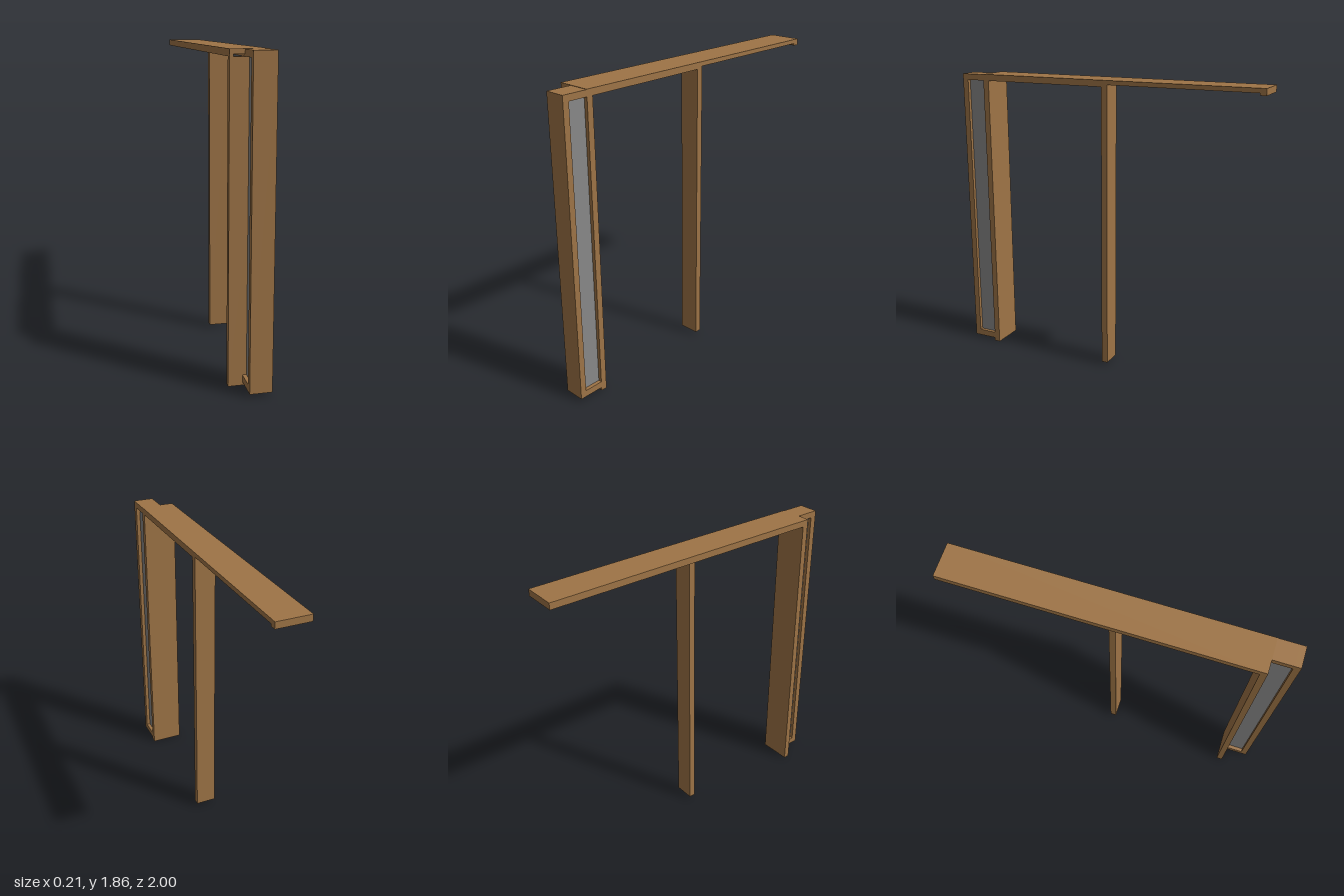
import * as THREE from 'three';

export function createModel() {
  const group = new THREE.Group();
  const wood = new THREE.MeshStandardMaterial({ color: 0x9e7446 });
  wood.name = 'wood';
  const glass = new THREE.MeshStandardMaterial({ color: 0x888888 });
  glass.name = 'grey glass';

  // Box given by its lower and upper limits on each axis
  function block(name, [x0, x1], [y0, y1], [z0, z1], material = wood) {
    const mesh = new THREE.Mesh(new THREE.BoxGeometry(x1 - x0, y1 - y0, z1 - z0), material);
    mesh.position.set((x0 + x1) / 2, (y0 + y1) / 2, (z0 + z1) / 2);
    mesh.name = name;
    group.add(mesh);
  }

  const full = [-0.105, 0.105];
  const narrow = [-0.023, 0.105];
  const top = 1.855, soffit = 1.815, recess = 1.828;

  // Door jamb and slim centre post
  block('jamb', full, [0, soffit], [0.805, 0.843]);
  block('centrePost', narrow, [0.021, recess], [-0.04, 0]);

  // Header: cap plate with a channel below
  block('headerCap', full, [recess, top], [-1, 0.843]);
  block('headerRim', [-0.105, -0.085], [soffit, recess], [-0.963, 0.843]);
  block('headerSoffit', narrow, [soffit, recess], [0, 0.843]);
  block('headerEnd', full, [soffit, recess], [-1, -0.963]);

  // Sidelight frame, closed against the jamb
  block('sidelightStile', narrow, [0.021, top - 0.002], [0.962, 1]);
  block('sidelightSill', narrow, [0.021, 0.062], [0.843, 0.962]);
  block('sidelightHead', narrow, [soffit, top - 0.002], [0.843, 0.962]);
  block('sidelightGlass', [0, 0.082], [0.062, soffit], [0.843, 0.962], glass);

  return group;
}
